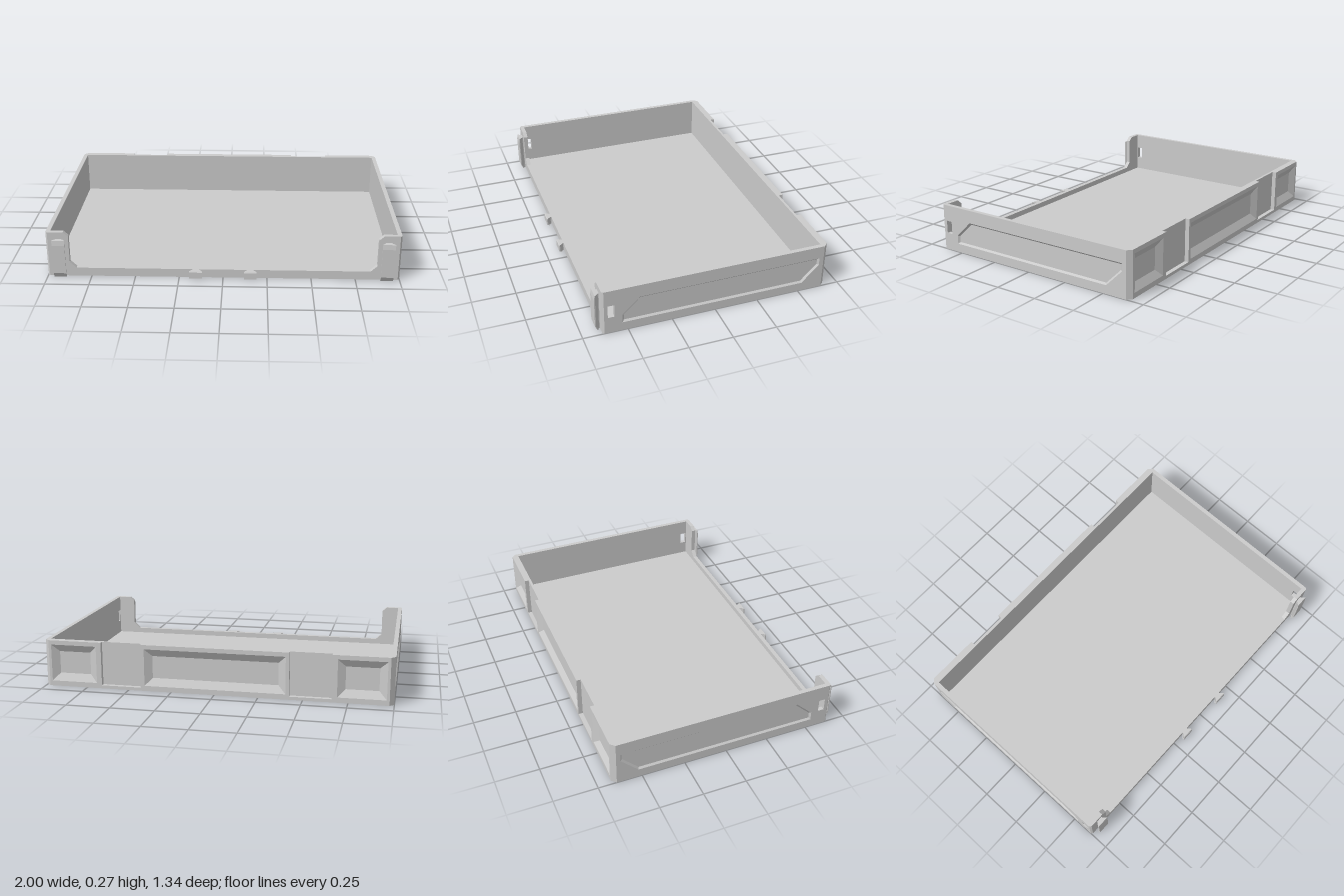
import * as THREE from 'three';

const H = 0.27, BACK = -0.67, FRONT = 0.64;

const rect = (x0, y0, x1, y1) => [[x0, y0], [x1, y0], [x1, y1], [x0, y1]];
const mirror = (pts) => pts.map(([x, y]) => [-x, y]).reverse();
const vecs = (pts) => pts.map(([x, y]) => new THREE.Vector2(x, y));

// Moves every edge of a convex counter-clockwise outline inwards by d.
function inset(pts, d) {
  const n = pts.length;
  const normal = (a, b) => {
    const l = Math.hypot(b[0] - a[0], b[1] - a[1]);
    return [-(b[1] - a[1]) / l, (b[0] - a[0]) / l];
  };
  return pts.map((p, i) => {
    const m = normal(pts[(i + n - 1) % n], p), k = normal(p, pts[(i + 1) % n]);
    const s = d / (1 + m[0] * k[0] + m[1] * k[1]);
    return [p[0] + (m[0] + k[0]) * s, p[1] + (m[1] + k[1]) * s];
  });
}

export function createModel() {
  const root = new THREE.Group();
  const mat = new THREE.MeshStandardMaterial({ color: 0xcccccc, flatShading: true });

  const add = (name, geo, parent = root) => {
    const mesh = new THREE.Mesh(geo, mat);
    mesh.name = name;
    parent.add(mesh);
    return mesh;
  };

  // Plate whose face lies at local z = 0 and which is `depth` thick behind it.
  const plate = (name, pts, holes, depth, parent) => {
    const shape = new THREE.Shape(vecs(pts));
    holes.forEach((h) => shape.holes.push(new THREE.Path(vecs(h))));
    const geo = new THREE.ExtrudeGeometry(shape, { depth, bevelEnabled: false });
    return add(name, geo.translate(0, 0, -depth), parent);
  };

  // Sloping rim and floor of a pocket sunk into a plate.
  const recess = (name, outer, slope, depth, parent) => {
    const inner = inset(outer, slope), pos = [];
    outer.forEach((a, i) => {
      const j = (i + 1) % outer.length, b = outer[j], c = inner[j], d = inner[i];
      pos.push(...a, 0, ...b, 0, ...c, -depth, ...a, 0, ...c, -depth, ...d, -depth);
    });
    const rim = new THREE.BufferGeometry();
    rim.setAttribute('position', new THREE.Float32BufferAttribute(pos, 3));
    rim.computeVertexNormals();
    add(name + 'Rim', rim, parent);
    const floor = new THREE.ShapeGeometry(new THREE.Shape(vecs(inner)));
    add(name + 'Floor', floor.translate(0, 0, -depth), parent);
  };

  // Upright prism from a plan outline given as [x, z].
  const prism = (name, plan, height, steps = 1) => {
    const shape = new THREE.Shape(plan.map(([x, z]) => new THREE.Vector2(x, -z)));
    const geo = new THREE.ExtrudeGeometry(shape, { depth: height, steps, bevelEnabled: false });
    return add(name, geo.rotateX(-Math.PI / 2));
  };

  // Floor with chamfered corners
  prism('floor', [[-0.975, BACK], [0.975, BACK], [1, -0.645], [1, 0.63], [0.99, FRONT],
    [-0.99, FRONT], [-1, 0.63], [-1, -0.645]], 0.018);

  // Side walls: sunk panel outside, slot near the front
  const sidePanel = [[-0.53, 0.05], [0.52, 0.05], [0.62, 0.15], [0.62, 0.195], [-0.43, 0.195], [-0.53, 0.1]];
  const sideSlot = rect(-0.61, 0.1, -0.573, 0.175);
  const sideWall = rect(-0.63, 0, 0.645, H);
  for (const s of [1, -1]) {
    const m = s > 0 ? (p) => p : mirror;
    const side = new THREE.Group();
    side.name = s > 0 ? 'leftWall' : 'rightWall';
    plate('outerSkin', m(sideWall), [m(sidePanel), m(sideSlot)], 0.01, side);
    plate('innerSkin', m(sideWall), [m(sideSlot)], 0.015, side).position.z = -0.01;
    recess('sidePanel', m(sidePanel), 0.01, 0.0095, side);
    side.rotation.y = s * Math.PI / 2;
    side.position.x = s;
    root.add(side);

    // Chamfered vertical corners
    prism('backCorner', [[s * 0.975, BACK], [s, -0.645], [s * 0.975, -0.645]], H);
    prism('frontCorner', [[s * 0.99, FRONT], [s, 0.63], [s * 0.99, 0.63]], H);
  }

  // Front frame: two posts joined by a low sill
  const half = [[0.835, 0.05], [0.872, 0.085], [0.872, 0.245], [0.9, H], [0.99, H], [0.99, 0]];
  plate('frontFrame', [...mirror(half), ...half], [], 0.025).position.z = FRONT;

  // Back wall: thin inner skin, pocketed blocks, rail slots left between them
  const back = new THREE.Group();
  back.name = 'backWall';
  back.rotation.y = Math.PI;
  back.position.z = BACK;
  root.add(back);
  plate('backSkin', rect(-0.99, 0, 0.99, H), [], 0.015, back).position.z = -0.025;
  const outerBlock = rect(0.66, 0, 0.975, H), outerPocket = rect(0.69, 0.03, 0.96, 0.245);
  const blocks = [
    ['centre', rect(-0.425, 0, 0.425, H), rect(-0.405, 0.03, 0.405, 0.245)],
    ['right', outerBlock, outerPocket],
    ['left', mirror(outerBlock), mirror(outerPocket)],
  ];
  for (const [name, block, pocket] of blocks) {
    plate(name + 'Block', block, [pocket], 0.025, back);
    recess(name + 'Pocket', pocket, 0.055, 0.032, back);
  }

  // Dovetail clips on the front, with tapered ends
  const clip = (name, x, height) => {
    const mesh = prism(name, [[x - 0.019, FRONT - 0.005], [x + 0.019, FRONT - 0.005], [x + 0.019, 0.645],
      [x + 0.036, 0.665], [x + 0.036, 0.671], [x - 0.036, 0.671], [x - 0.036, 0.665], [x - 0.019, 0.645]], height, 8);
    const p = mesh.geometry.attributes.position;
    for (let i = 0; i < p.count; i++) {
      const y = p.getY(i);
      if (y < 0.001) p.setZ(i, Math.min(p.getZ(i), 0.656));
      else if (y > height - 0.001) p.setZ(i, Math.min(p.getZ(i), 0.667));
    }
    mesh.geometry.computeVertexNormals();
  };
  for (const s of [1, -1]) {
    clip('tallClip', s * 0.926, 0.23);
    clip('shortClip', s * 0.155, 0.05);
  }
  return root;
}
